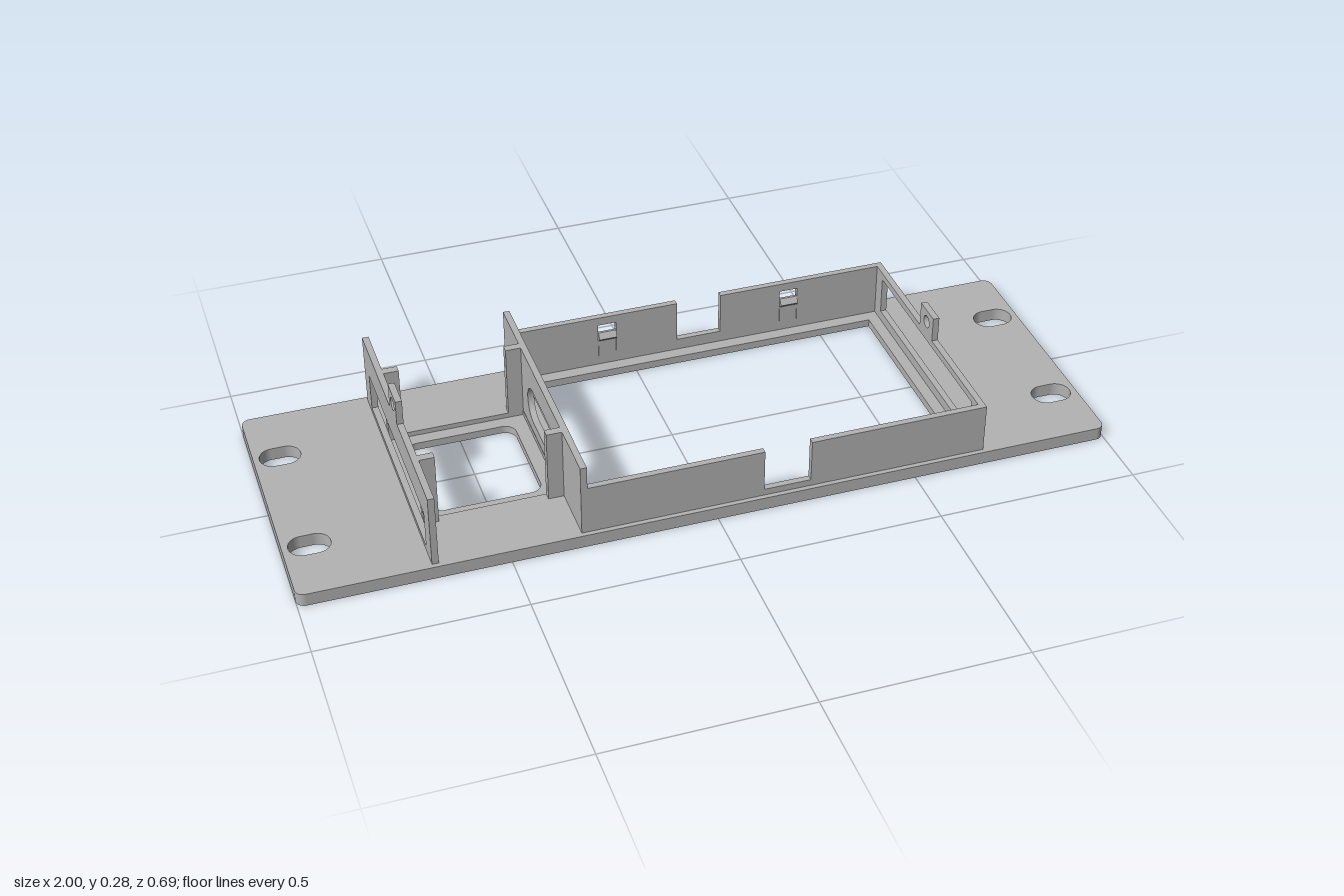
import * as THREE from 'three';

const grey = new THREE.MeshStandardMaterial({ color: 0xb3b3b3 });
grey.name = 'grey plastic';

// Rounded rectangle traced on a Shape or Path
function rounded(path, x0, y0, x1, y1, r) {
  path.moveTo(x0 + r, y0);
  path.lineTo(x1 - r, y0);
  path.absarc(x1 - r, y0 + r, r, -Math.PI / 2, 0);
  path.lineTo(x1, y1 - r);
  path.absarc(x1 - r, y1 - r, r, 0, Math.PI / 2);
  path.lineTo(x0 + r, y1);
  path.absarc(x0 + r, y1 - r, r, Math.PI / 2, Math.PI);
  path.lineTo(x0, y0 + r);
  path.absarc(x0 + r, y0 + r, r, Math.PI, Math.PI * 1.5);
  return path;
}

const polygon = (pts) => new THREE.Shape(pts.map(([x, y]) => new THREE.Vector2(x, y)));
const rectHole = (x0, y0, x1, y1) =>
  new THREE.Path([[x0, y0], [x1, y0], [x1, y1], [x0, y1]].map(([x, y]) => new THREE.Vector2(x, y)));
const roundHole = (x, y, r) => new THREE.Path().absarc(x, y, r, 0, Math.PI * 2);
const extrude = (shape, depth) =>
  new THREE.ExtrudeGeometry(shape, { depth, bevelEnabled: false, curveSegments: 16 });

export function createModel() {
  const model = new THREE.Group();
  const add = (name, geometry) => {
    const mesh = new THREE.Mesh(geometry, grey);
    mesh.name = name;
    model.add(mesh);
    return mesh;
  };
  const box = (name, x0, x1, y0, y1, z0, z1) =>
    add(name, new THREE.BoxGeometry(x1 - x0, y1 - y0, z1 - z0))
      .position.set((x0 + x1) / 2, (y0 + y1) / 2, (z0 + z1) / 2);

  const top = 0.033, step = 0.02, t = 0.016, zOut = 0.333, zIn = zOut - t;

  // Base plate in two layers; the upper one has wider openings, leaving ledges
  const plateLayer = (name, y, height, openings) => {
    const shape = rounded(new THREE.Shape(), -1, -0.345, 1, 0.345, 0.022);
    for (const x of [-0.935, 0.935])
      for (const z of [-0.175, 0.175])
        shape.holes.push(rounded(new THREE.Path(), x - 0.05, z - 0.035, x + 0.05, z + 0.035, 0.0345));
    shape.holes.push(...openings);
    add(name, extrude(shape, height).rotateX(-Math.PI / 2).translate(0, y, 0));
  };
  plateLayer('basePlate', 0, step, [
    rectHole(-0.285, -0.285, 0.635, 0.285),
    rounded(new THREE.Path(), -0.638, -0.135, -0.365, 0.138, 0.03),
  ]);
  plateLayer('basePlateUpper', step, top - step, [
    rectHole(-0.314, -zIn, 0.664, zIn),
    rectHole(-0.669, -0.167, -0.331, 0.17),
  ]);

  // Upright panels standing across the plate, with optional tab
  const crossPanel = (name, x, height, holes, tab) => {
    const pts = [[-zOut, top], [zOut, top], [zOut, height]];
    if (tab) pts.push([0.038, height], [0.038, tab], [-0.038, tab], [-0.038, height]);
    pts.push([-zOut, height]);
    const shape = polygon(pts);
    shape.holes.push(...holes);
    add(name, extrude(shape, t).rotateY(Math.PI / 2).translate(x, 0, 0));
  };
  const sideWindow = () => rectHole(-0.28, 0.045, 0.28, 0.142);
  crossPanel('frameLeftWall', 0.664, 0.16, [sideWindow(), roundHole(0, 0.193, 0.016)], 0.225);
  crossPanel('dividerWall', -0.33, 0.22, [rounded(new THREE.Path(), -0.12, 0.062, 0.12, 0.156, 0.0465)]);
  crossPanel('outerBracket', -0.685, 0.22, [sideWindow(), roundHole(0, 0.253, 0.0165)], 0.284);

  // Long frame walls with a cable notch; the back one has clip slots
  const clips = [-0.067, 0.42];
  for (const side of [1, -1]) {
    const shape = polygon([
      [-0.314, top], [0.664, top], [0.664, 0.16], [0.235, 0.16],
      [0.235, 0.05], [0.118, 0.05], [0.118, 0.16], [-0.314, 0.16],
    ]);
    if (side < 0) shape.holes.push(...clips.map((x) => rectHole(x - 0.024, 0.045, x + 0.024, 0.138)));
    add(side > 0 ? 'frameFrontWall' : 'frameBackWall',
      extrude(shape, t).translate(0, 0, side > 0 ? zIn : -zOut));
  }

  // Clip tongues with a small wedge catch on the inside
  for (const x of clips) {
    const profile = polygon([
      [zIn, 0.045], [zIn + 0.006, 0.045], [zIn + 0.006, 0.115],
      [zIn, 0.115], [zIn - 0.01, 0.1], [zIn, 0.09],
    ]);
    add('clipTongue', extrude(profile, 0.046).rotateY(Math.PI / 2).translate(x - 0.023, 0, 0));
  }

  // Guide posts around the small opening
  for (const [x0, x1] of [[-0.669, -0.632], [-0.368, -0.33]]) {
    box('guidePost', x0, x1, top, 0.22, 0.167, 0.187);
    box('guidePost', x0, x1, top, 0.22, -0.19, -0.17);
  }
  return model;
}
